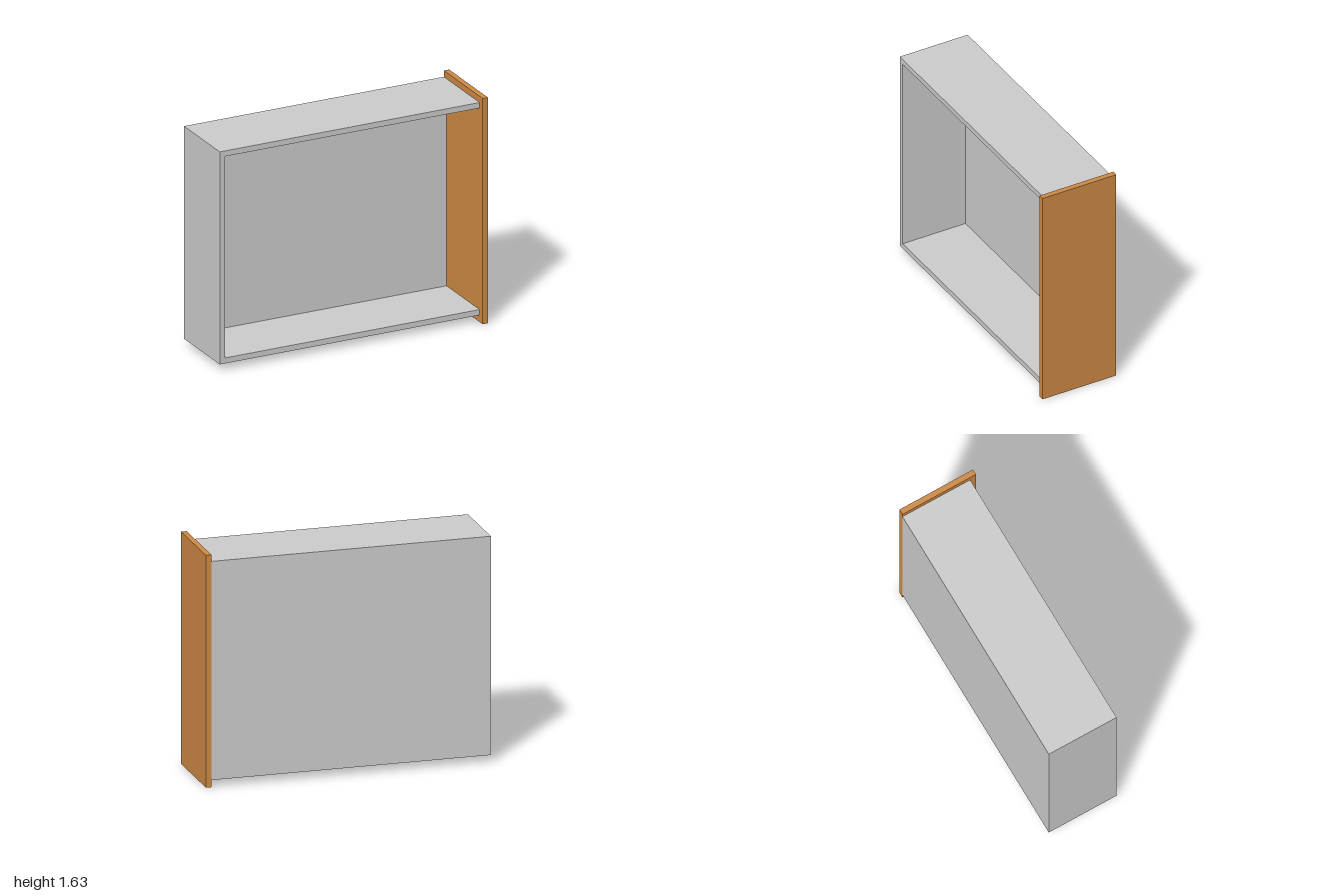
import * as THREE from 'three';

const WALL = 0.04;
const BACK = -0.285; // z of the drawer's underside
const RIM = 0.24; // z of the open rim
const LEFT = -1, FACE = 0.96; // x extent of the tray
const LOW = 0.05, HIGH = 1.585; // y extent of the tray

export function createModel() {
  const group = new THREE.Group();
  group.name = 'drawer';
  const grey = new THREE.MeshStandardMaterial({ color: 0xcccccc });
  const wood = new THREE.MeshStandardMaterial({ color: 0xcd8945 });

  // Extrudes a flat outline along z between two depths
  const slab = (name, points, z0, z1, material) => {
    const shape = new THREE.Shape(points.map(([x, y]) => new THREE.Vector2(x, y)));
    const geometry = new THREE.ExtrudeGeometry(shape, { depth: z1 - z0, bevelEnabled: false });
    const mesh = new THREE.Mesh(geometry, material);
    mesh.name = name;
    mesh.position.z = z0;
    group.add(mesh);
  };
  const rect = (x0, y0, x1, y1) => [[x0, y0], [x1, y0], [x1, y1], [x0, y1]];

  // Tray base
  slab('base', rect(LEFT, LOW, FACE, HIGH), BACK, BACK + WALL, grey);

  // Three joined walls, open towards the drawer front
  slab('walls', [
    [LEFT, LOW], [FACE, LOW], [FACE, LOW + WALL], [LEFT + WALL, LOW + WALL],
    [LEFT + WALL, HIGH - WALL], [FACE, HIGH - WALL], [FACE, HIGH], [LEFT, HIGH],
  ], BACK + WALL, RIM, grey);

  // Wooden front panel, overhanging the tray
  slab('frontPanel', rect(FACE, 0, 1, 1.63), BACK, -BACK, wood);

  return group;
}
